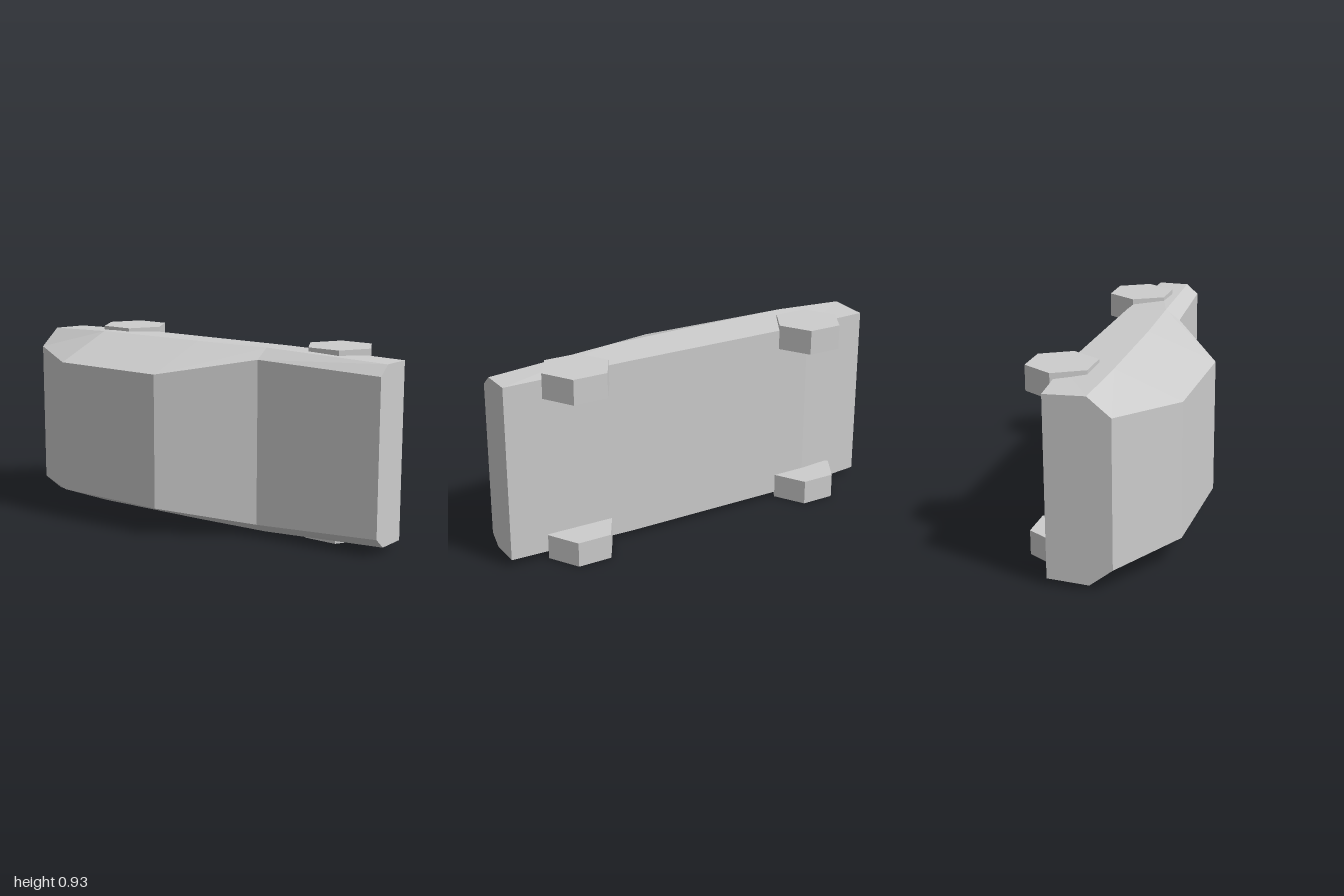
import * as THREE from 'three';

const MID = 0.466; // height of the symmetry plane of the car lying on its side

// Stations along the body: x, then depth z and half-width of underside, shoulder and roof
const STATIONS = [
  { x: -1.0, under: [-0.18, 0.435], shoulder: [0.02, 0.443], roof: [0.13, 0.355] },
  { x: -0.645, under: [-0.21, 0.44], shoulder: [0.033, 0.455], roof: [0.35, 0.33] },
  { x: -0.04, under: [-0.21, 0.44], shoulder: [0.02, 0.455], roof: [0.357, 0.33] },
  { x: 0.365, under: [-0.21, 0.44], shoulder: [0.0, 0.455], roof: [0.073, 0.405] },
  { x: 1.0, under: [-0.2, 0.43], shoulder: [-0.047, 0.43], roof: [0.012, 0.38] },
];

function bodyGeometry() {
  // Six-cornered ring per station, counter-clockwise seen from +x
  const rings = STATIONS.map(({ x, under, shoulder, roof }) => {
    const half = [under, shoulder, roof];
    return [
      ...half.map(([z, w]) => [x, MID + w, z]),
      ...half.slice().reverse().map(([z, w]) => [x, MID - w, z]),
    ];
  });
  const pos = [];
  const tri = (...corners) => corners.forEach((c) => pos.push(...c));

  // Skin between neighbouring rings; diagonals mirror about the symmetry plane
  for (let i = 0; i < rings.length - 1; i++) {
    const a = rings[i];
    const b = rings[i + 1];
    for (let j = 0; j < 6; j++) {
      const k = (j + 1) % 6;
      if (j < 2) {
        tri(a[j], a[k], b[j]);
        tri(a[k], b[k], b[j]);
      } else {
        tri(a[j], a[k], b[k]);
        tri(a[j], b[k], b[j]);
      }
    }
  }

  // End caps
  const first = rings[0];
  const last = rings[rings.length - 1];
  for (let j = 1; j < 5; j++) {
    tri(last[0], last[j], last[j + 1]);
    tri(first[0], first[j + 1], first[j]);
  }

  const geo = new THREE.BufferGeometry();
  geo.setAttribute('position', new THREE.Float32BufferAttribute(pos, 3));
  geo.computeVertexNormals();
  return geo;
}

export function createModel() {
  const model = new THREE.Group();
  model.name = 'carOnItsSide';
  const grey = new THREE.MeshStandardMaterial({ color: 0xcccccc, flatShading: true });
  grey.name = 'lightGrey';

  const body = new THREE.Mesh(bodyGeometry(), grey);
  body.name = 'carBody';
  model.add(body);

  // Four hexagonal wheels with corners pointing along x
  const wheelGeo = new THREE.CylinderGeometry(0.17, 0.17, 0.122, 6);
  wheelGeo.rotateY(Math.PI / 2);
  for (const x of [-0.645, 0.645]) {
    for (const side of [-1, 1]) {
      const wheel = new THREE.Mesh(wheelGeo, grey);
      wheel.name = `${x < 0 ? 'rear' : 'front'}Wheel${side > 0 ? 'Upper' : 'Lower'}`;
      wheel.position.set(x, MID + side * 0.405, -0.21);
      model.add(wheel);
    }
  }
  return model;
}
